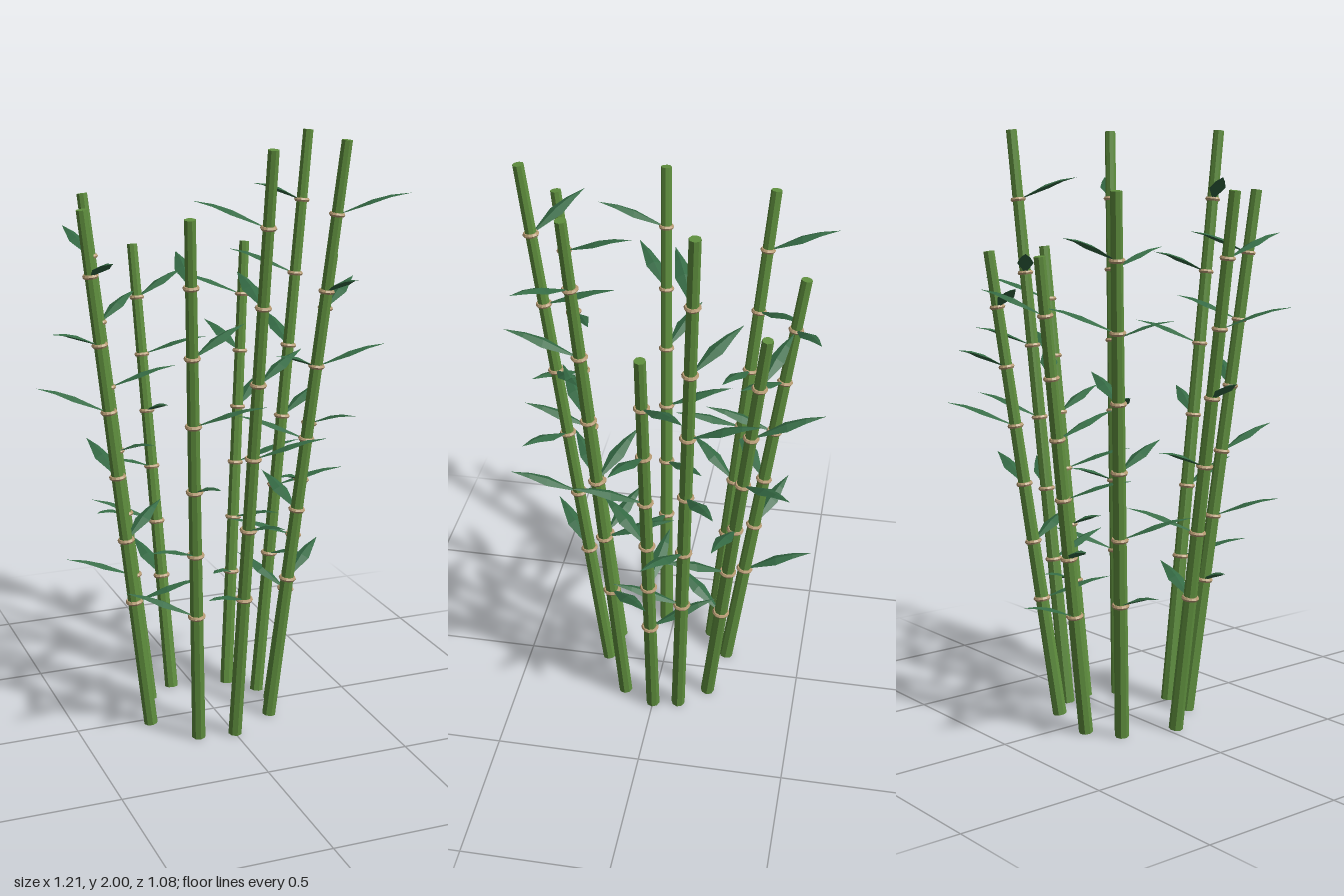
import * as THREE from 'three';

const mat = (name, color, side = THREE.FrontSide) => {
  const m = new THREE.MeshStandardMaterial({ color, side, flatShading: true });
  m.name = name;
  return m;
};

// Folded diamond leaf along +x: rows of [distance, half width, height]
function leafGeometry() {
  const rows = [[0.015, 0.004, 0.005], [0.11, 0.028, 0.05], [0.17, 0.016, 0.067], [0.235, 0, 0.075]];
  const pos = [], idx = [];
  for (const [d, w, h] of rows) {
    const droop = w * 0.4;
    pos.push(d, h - droop, -w, d, h, 0, d, h - droop, w);
  }
  for (let r = 0; r < rows.length - 1; r++) {
    for (let s = 0; s < 2; s++) {
      const a = r * 3 + s, b = a + 1, c = a + 3, e = a + 4;
      idx.push(a, b, c);
      if (r < rows.length - 2) idx.push(b, e, c);
      else idx.push(b, e, c);
    }
  }
  const g = new THREE.BufferGeometry();
  g.setAttribute('position', new THREE.Float32BufferAttribute(pos, 3));
  g.setIndex(idx);
  g.computeVertexNormals();
  return g;
}

// Each stalk: base x, base z, top x, top z, height, heading of its top leaf in degrees
const STALKS = [
  [0.215, 0, 0.432, -0.008, 1.6, -41],
  [0.165, 0.11, 0.36, 0.232, 2, 33],
  [0, 0.205, 0.02, 0.443, 2, 214],
  [-0.125, 0.185, -0.225, 0.392, 1.8, -82],
  [-0.245, 0.03, -0.464, 0.07, 1.8, 89],
  [-0.185, -0.155, -0.352, -0.313, 1.8, 262],
  [-0.08, -0.225, -0.137, -0.443, 1.6, -25],
  [0.12, -0.185, 0.254, -0.365, 1.6, 200],
  [0.2, -0.09, 0.404, -0.164, 2, 158],
];
const BASE_R = 0.024, TOP_R = 0.0185;

export function createModel() {
  const group = new THREE.Group();
  const stalkMat = mat('stalk green', 0x5f8f3e);
  const nodeMat = mat('node tan', 0xb89c74);
  const leafMat = mat('leaf green', 0x356b45, THREE.DoubleSide);
  const leafGeo = leafGeometry();
  const up = new THREE.Vector3(0, 1, 0);

  for (const [bx, bz, tx, tz, height, heading] of STALKS) {
    const cane = new THREE.Group();
    cane.name = 'bambooCane';
    const base = new THREE.Vector3(bx, 0.003, bz);
    const top = new THREE.Vector3(tx, height - 0.002, tz);
    const axis = top.clone().sub(base);
    const tilt = new THREE.Quaternion().setFromUnitVectors(up, axis.clone().normalize());

    // Leaning tapered stalk
    const stalk = new THREE.Mesh(new THREE.CylinderGeometry(TOP_R, BASE_R, axis.length(), 8), stalkMat);
    stalk.name = 'stalk';
    stalk.position.copy(base).lerp(top, 0.5);
    stalk.quaternion.copy(tilt);
    cane.add(stalk);

    // Node rings, each with one leaf turned a radian from the next
    for (let i = 2; i <= 7; i++) {
      const t = i / 8 + 0.015 / height;
      const p = base.clone().lerp(top, t);
      const r = THREE.MathUtils.lerp(BASE_R, TOP_R, t);
      const ringGeo = new THREE.TorusGeometry(r, 0.0075, 6, 12).rotateX(Math.PI / 2);
      const ring = new THREE.Mesh(ringGeo, nodeMat);
      ring.name = 'nodeRing';
      ring.position.copy(p);
      ring.quaternion.copy(tilt);
      cane.add(ring);

      const leaf = new THREE.Mesh(leafGeo, leafMat);
      leaf.name = 'leaf';
      leaf.position.copy(p);
      leaf.rotation.y = -(THREE.MathUtils.degToRad(heading) + (7 - i));
      cane.add(leaf);
    }
    group.add(cane);
  }
  return group;
}
